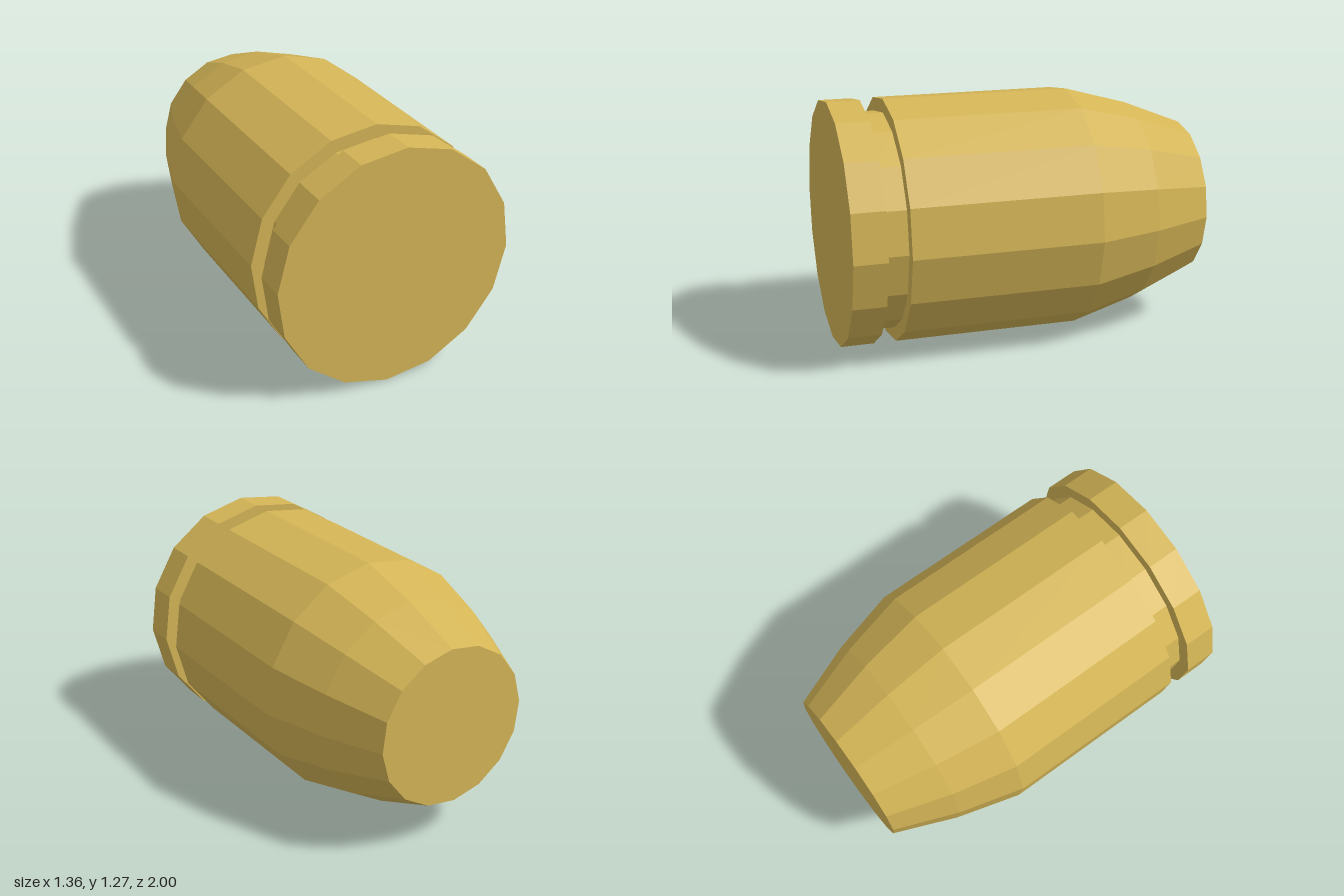
import * as THREE from 'three';

const SIDES = 16;
const HALF = 0.963; // half of the length along the axis

export function createModel() {
  const group = new THREE.Group();
  group.name = 'slug';

  const brass = new THREE.MeshStandardMaterial({ color: 0xd4b556, flatShading: true });

  // Closed profile [radius, distance from the flat base], nose first
  const profile = [
    [0, 1.926], [0.414, 1.926], // blunt nose
    [0.543, 1.6], [0.636, 1.263], // two-step taper
    [0.636, 0.286], [0.565, 0.286], // body, groove
    [0.565, 0.17], [0.636, 0.17], // groove, base rim
    [0.636, 0], [0, 0], // flat base
  ].map(([r, d]) => new THREE.Vector2(r, HALF - d));

  // Lay the turned body along z, base to the front, with a slight roll and yaw
  const geometry = new THREE.LatheGeometry(profile, SIDES);
  geometry.rotateX(Math.PI / 2);
  geometry.rotateZ(THREE.MathUtils.degToRad(-3.2));
  geometry.rotateY(THREE.MathUtils.degToRad(-4.05));

  const body = new THREE.Mesh(geometry, brass);
  body.name = 'groovedBody';
  body.position.set(0.022, 0.635, -0.011);
  group.add(body);

  return group;
}
